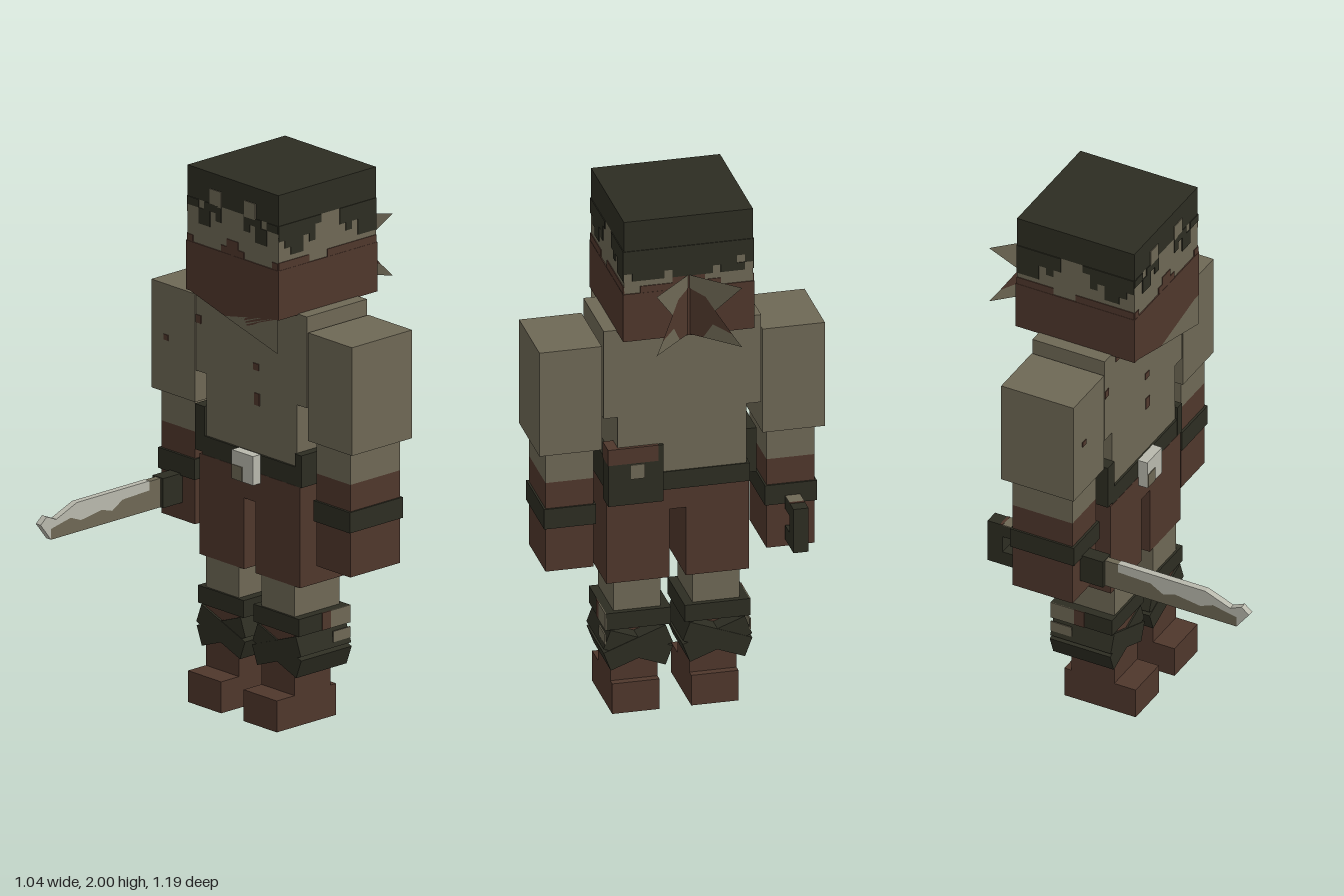
import * as THREE from 'three';

const paint = (name, color, side = THREE.FrontSide) => {
  const m = new THREE.MeshStandardMaterial({ color, side });
  m.name = name;
  return m;
};

export function createModel() {
  const dark = paint('dark leather', 0x2d2d22);
  const olive = paint('olive cloth', 0x6e6855, THREE.DoubleSide);
  const brown = paint('brown cloth', 0x4f372c, THREE.DoubleSide);
  const steel = paint('pale steel', 0xb9b9ad);
  const root = new THREE.Group();
  root.name = 'figure';
  const body = new THREE.Group();
  body.name = 'body';
  body.position.x = -0.005;
  root.add(body);

  // Box given by its bounds
  function box(name, mat, x0, x1, y0, y1, z0, z1, parent = body) {
    const mesh = new THREE.Mesh(new THREE.BoxGeometry(Math.abs(x1 - x0), y1 - y0, z1 - z0), mat);
    mesh.position.set((x0 + x1) / 2, (y0 + y1) / 2, (z0 + z1) / 2);
    mesh.name = name;
    parent.add(mesh);
    return mesh;
  }
  const shape = pts => new THREE.Shape(pts.map(p => new THREE.Vector2(...p)));
  function sheet(name, mat, pts, parent = body) {
    const mesh = new THREE.Mesh(new THREE.ShapeGeometry(shape(pts)), mat);
    mesh.name = name;
    parent.add(mesh);
    return mesh;
  }

  // Head, facing out from its own centre
  const head = new THREE.Group();
  head.name = 'head';
  head.position.set(0, 0, -0.2);
  body.add(head);
  const H = 0.235, cell = H / 8;
  box('face', olive, -H, H, 1.54, 1.885, -H, H, head);
  box('hair', dark, -H, H, 1.885, 2, -H, H, head);
  box('mask', brown, -H - 0.004, H + 0.004, 1.536, 1.72, -H - 0.004, H + 0.004, head);

  // Pixel fringe: each run of # is one thin plate; rows start at y
  function fringe(rows, angle, mat, y, name) {
    const side = new THREE.Group();
    side.name = name;
    side.rotation.y = angle;
    head.add(side);
    rows.forEach((row, r) => {
      for (const run of row.matchAll(/#+/g)) {
        const x = -H + run.index * cell, top = y - r * cell;
        box(name, mat, x, x + run[0].length * cell, top - cell, top, H - 0.002, H + 0.003, side);
      }
    });
  }
  const sideHair = ['#######...######', '######....######', '.###.#.....#.###', '..##.........###'];
  const sideMask = ['###..........###', '#####...########'];
  fringe(['##.###....###.##', '..##.#....#.##..', '..##........##..'], 0, dark, 1.885, 'front hair');
  fringe(['.......##.......', '#.....####.....#'], 0, brown, 1.775, 'front mask edge');
  fringe(sideHair, Math.PI / 2, dark, 1.885, 'left hair');
  fringe(sideHair.map(r => [...r].reverse().join('')), -Math.PI / 2, dark, 1.885, 'right hair');
  fringe(['################', '################', '##############.#', '.####.#####.###.'], Math.PI, dark, 1.885, 'back hair');
  fringe(['......####......', '..##########....'], Math.PI, brown, 1.775, 'back mask edge');
  fringe(sideMask.slice(1), Math.PI / 2, brown, 1.748, 'left mask edge');
  fringe(sideMask.slice(1), -Math.PI / 2, brown, 1.748, 'right mask edge');
  // Olive brow notches in the hair
  for (const s of [-1, 1]) {
    box('brow', olive, s * 0.06, s * 0.118, 1.88, 1.94, H - 0.002, H + 0.003, head);
  }

  // Mask flap hanging in front and knotted tails behind
  sheet('mask flap', brown, [[-H, 1.54], [-0.04, 1.485], [0.05, 1.46], [0.14, 1.505], [H, 1.54]], head).position.z = H + 0.003;
  sheet('mask flap trim', olive, [[-0.04, 1.485], [H, 1.41], [H, 1.54], [0.14, 1.505], [0.05, 1.46]], head).position.z = H + 0.003;
  for (const angle of [Math.PI / 4, 3 * Math.PI / 4]) {
    const tail = new THREE.Group();
    tail.name = 'mask tail';
    tail.position.z = -H;
    tail.rotation.y = angle;
    sheet('tail tip', olive, [[0, 1.72], [0.07, 1.7], [0.11, 1.655], [0.22, 1.77], [0, 1.77]], tail);
    sheet('tail cloth', brown, [[0, 1.54], [0.06, 1.54], [0.1, 1.6], [0.18, 1.58], [0.11, 1.655], [0.07, 1.7], [0, 1.72]], tail);
    sheet('tail end', olive, [[0.06, 1.54], [0.22, 1.54], [0.18, 1.58], [0.1, 1.6]], tail);
    head.add(tail);
  }

  // Torso with its broad shoulders
  box('shoulders', olive, -0.288, 0.286, 1.2, 1.54, -0.345, -0.055);
  box('shirt', olive, -H, H, 0.95, 1.21, -0.345, -0.055);
  for (const [x, y, h] of [[-0.275, 1.395, 0.03], [-0.195, 1.51, 0.04], [-0.035, 1.455, 0.04],
    [0.025, 1.29, 0.025], [0.028, 1.17, 0.045]]) {
    box('shirt stain', brown, x - 0.014, x + 0.014, y - h / 2, y + h / 2, -0.056, -0.052);
  }

  // Belt, buckle, hip flaps and back pouch
  box('belt', dark, -0.245, 0.255, 0.9, 0.97, -0.35, -0.047);
  box('buckle', steel, -0.055, 0.055, 0.865, 0.973, -0.047, -0.01);
  box('buckle shade', olive, -0.053, 0, 0.867, 0.92, -0.011, -0.007);
  box('right hip flap', dark, -0.283, -0.235, 0.91, 1.08, -0.3, -0.045);
  box('left hip flap', dark, 0.235, 0.268, 0.9, 1.02, -0.3, -0.045);
  box('pouch', dark, 0.07, 0.272, 0.86, 1.08, -0.356, -0.28);
  box('pouch top', brown, 0.09, 0.273, 1.02, 1.081, -0.358, -0.28);
  box('pouch button', olive, 0.14, 0.19, 0.96, 1.015, -0.361, -0.355);

  // Arms and legs
  box('trouser seat', brown, -0.26, 0.26, 0.79, 0.9, -0.28, -0.046);
  for (const s of [-1, 1]) {
    box('sleeve', olive, s * 0.293, s * 0.52, 1.08, 1.483, -0.345, -0.055);
    box('forearm', olive, s * 0.315, s * 0.49, 0.96, 1.08, -0.315, -0.075);
    box('hand', brown, s * 0.315, s * 0.49, 0.615, 0.96, -0.315, -0.075);
    box('wrist band', dark, s * 0.308, s * 0.497, 0.783, 0.86, -0.322, -0.066);

    box('trouser leg', brown, s * 0.03, s * 0.26, 0.525, 0.8, -0.28, -0.046);
    box('sock', olive, s * 0.058, s * 0.23, 0.41, 0.525, -0.265, -0.048);
    box('boot shaft', brown, s * 0.058, s * 0.23, 0.11, 0.41, -0.22, -0.048);
    box('boot foot', brown, s * 0.058, s * 0.23, 0, 0.117, -0.248, 0.038);
    box('knee band', dark, s * 0.025, s * 0.262, 0.345, 0.41, -0.285, -0.04);
    box('knee band patch', olive, s * 0.261, s * 0.265, 0.345, 0.41, -0.285, -0.19);
    box('knee band stain', brown, s * 0.261, s * 0.265, 0.345, 0.41, -0.19, -0.15);
    // Crossed straps
    for (const t of [-1, 1]) {
      const e = t * s * 0.001;
      const strap = box('crossed strap', dark, s * 0.0235, s * 0.2655, 0.2275, 0.3025, -0.284 + e, -0.041 + e);
      strap.rotation.z = t * 0.36;
    }
    box('strap patch', olive, s * 0.262, s * 0.267, 0.29, 0.33, -0.283, -0.2);
  }
  box('sleeve stain', brown, -0.455, -0.43, 1.275, 1.295, -0.056, -0.052);

  // Sword held forward in the right hand
  const sword = new THREE.Group();
  sword.name = 'sword';
  root.add(sword);
  function blade(name, mat, pts) {
    const g = new THREE.ExtrudeGeometry(shape(pts), { depth: 0.025, bevelEnabled: false });
    g.rotateY(-Math.PI / 2);
    const mesh = new THREE.Mesh(g, mat);
    mesh.position.x = -0.4;
    mesh.name = name;
    sword.add(mesh);
  }
  const edge = [[0.545, 0.72], [0.45, 0.74], [0.4, 0.72], [0.3, 0.735], [0.25, 0.72], [0.2, 0.75], [0.07, 0.755], [0.07, 0.788]];
  blade('blade edge', olive, [[0.01, 0.68], [0.545, 0.68], ...edge, [0.01, 0.788]]);
  blade('blade back', steel, [[0.545, 0.68], [0.595, 0.745], [0.565, 0.77], [0.52, 0.75], [0.42, 0.79], [0.07, 0.79],
    ...edge.slice(0, 7).reverse()]);
  box('sword collar', dark, -0.44, -0.385, 0.68, 0.79, -0.076, 0.018, sword);
  box('knuckle guard', dark, -0.44, -0.385, 0.645, 0.815, -0.445, -0.385, sword);
  box('guard lower arm', dark, -0.44, -0.385, 0.645, 0.7, -0.385, -0.326, sword);
  box('guard upper arm', dark, -0.44, -0.385, 0.765, 0.813, -0.385, -0.326, sword);
  box('guard top wrap', olive, -0.44, -0.385, 0.812, 0.816, -0.385, -0.326, sword);
  box('guard top stripe', brown, -0.44, -0.385, 0.812, 0.817, -0.395, -0.385, sword);
  return root;
}
